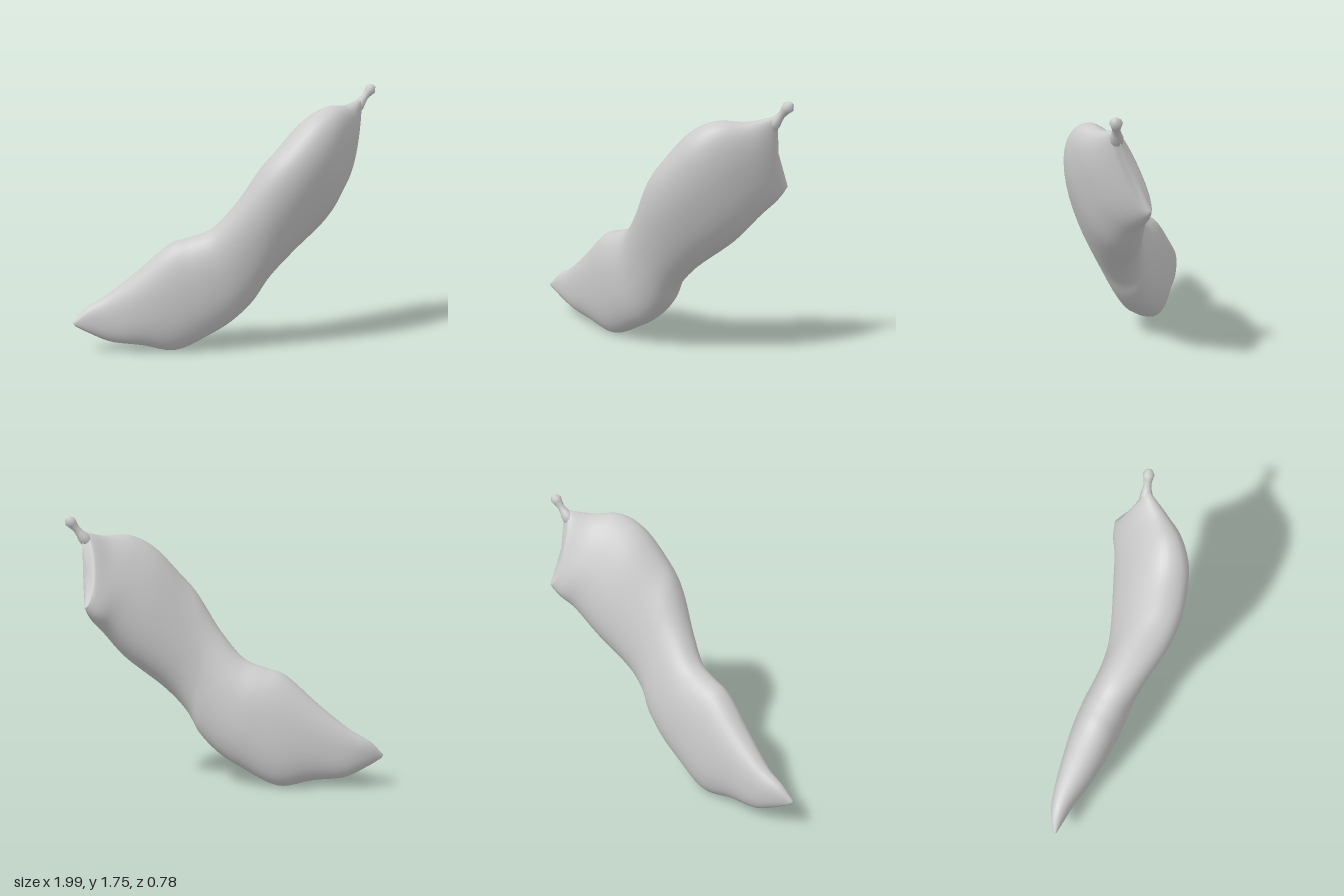
import * as THREE from 'three';

// Stations along the body: upper edge xyz, lower edge xyz, half thickness
const STATIONS = [
  [-1, .21, -.35, -.985, .185, -.35, .012],
  [-.91, .3, -.35, -.89, .13, -.335, .045],
  [-.78, .38, -.32, -.75, .065, -.31, .078],
  [-.6, .53, -.245, -.56, .04, -.245, .12],
  [-.4, .72, -.15, -.34, 0, -.185, .152],
  [-.27, .77, -.1, -.12, .11, -.1, .16],
  [-.14, .83, -.03, .03, .21, -.055, .155],
  [-.02, .99, .08, .155, .345, -.025, .16],
  [.12, 1.23, .22, .235, .5, -.015, .175],
  [.25, 1.37, .285, .365, .655, -.01, .187],
  [.42, 1.54, .3, .6, .85, -.025, .187],
  [.58, 1.62, .265, .75, 1.02, -.06, .15],
  [.74, 1.62, .18, .83, 1.1, -.1, .108],
  [.855, 1.645, .1, .875, 1.15, -.115, .066],
  [.9, 1.65, .08, .9, 1.19, -.125, .03],
];

const curveOf = (pick) => new THREE.CatmullRomCurve3(
  STATIONS.map((s) => new THREE.Vector3(...pick(s))), false, 'catmullrom', 0.5);

// Slightly squared cosine and sine for fuller cross-sections
const full = (v) => Math.sign(v) * Math.abs(v) ** 0.88;

function bodyGeometry(rings = 84, sides = 40) {
  const upper = curveOf((s) => s.slice(0, 3));
  const lower = curveOf((s) => s.slice(3, 6));
  const thick = curveOf((s) => [s[6], 0, 0]);
  const centre = (t) => upper.getPoint(t).add(lower.getPoint(t)).multiplyScalar(0.5);
  const pos = [], index = [];

  for (let i = 0; i <= rings; i++) {
    const t = i / rings;
    const c = centre(t);
    const half = upper.getPoint(t).sub(c);
    // a wide step keeps the section direction turning gently
    const along = centre(Math.min(1, t + 0.1)).sub(centre(Math.max(0, t - 0.1)));
    const normal = along.cross(half).normalize().multiplyScalar(thick.getPoint(t).x);
    const bite = 0.045 * Math.pow(t, 14); // hollow between the two end corners
    for (let j = 0; j < sides; j++) {
      const a = (j / sides) * Math.PI * 2;
      const p = c.clone().addScaledVector(half, full(Math.cos(a))).addScaledVector(normal, full(Math.sin(a)));
      pos.push(p.x - bite * Math.abs(Math.sin(a)), p.y, p.z);
    }
  }
  for (let i = 0; i < rings; i++) {
    for (let j = 0; j < sides; j++) {
      const a = i * sides + j, b = i * sides + (j + 1) % sides;
      index.push(a, b, a + sides, b, b + sides, a + sides);
    }
  }
  // close both ends
  const first = pos.length / 3, last = first + 1, base = rings * sides;
  const c0 = centre(0), c1 = centre(1);
  pos.push(c0.x, c0.y, c0.z, c1.x - 0.03, c1.y, c1.z);
  for (let j = 0; j < sides; j++) {
    const k = (j + 1) % sides;
    index.push(first, k, j, last, base + j, base + k);
  }
  const geo = new THREE.BufferGeometry();
  geo.setAttribute('position', new THREE.Float32BufferAttribute(pos, 3));
  geo.setIndex(index);
  geo.computeVertexNormals();
  return geo;
}

export function createModel() {
  const group = new THREE.Group();
  const material = new THREE.MeshStandardMaterial({ color: 0xcccccc });

  // Flattened, twisted sack
  const body = new THREE.Mesh(bodyGeometry(), material);
  body.name = 'body';
  group.add(body);

  // Thin duct flaring out of the upper corner, with a blunt knob
  const profile = [[0, 0], [.025, .01], [.04, .05], [.038, .085], [.029, .115], [.023, .15], [.03, .185], [.038, .212], [.02, .24], [0, .248]];
  const duct = new THREE.Mesh(
    new THREE.LatheGeometry(profile.map(([r, y]) => new THREE.Vector2(r, y)), 10), material);
  duct.name = 'duct';
  const from = new THREE.Vector3(.825, 1.553, .068), to = new THREE.Vector3(.978, 1.74, .075);
  duct.position.copy(from);
  duct.quaternion.setFromUnitVectors(new THREE.Vector3(0, 1, 0), to.sub(from).normalize());
  group.add(duct);

  return group;
}
